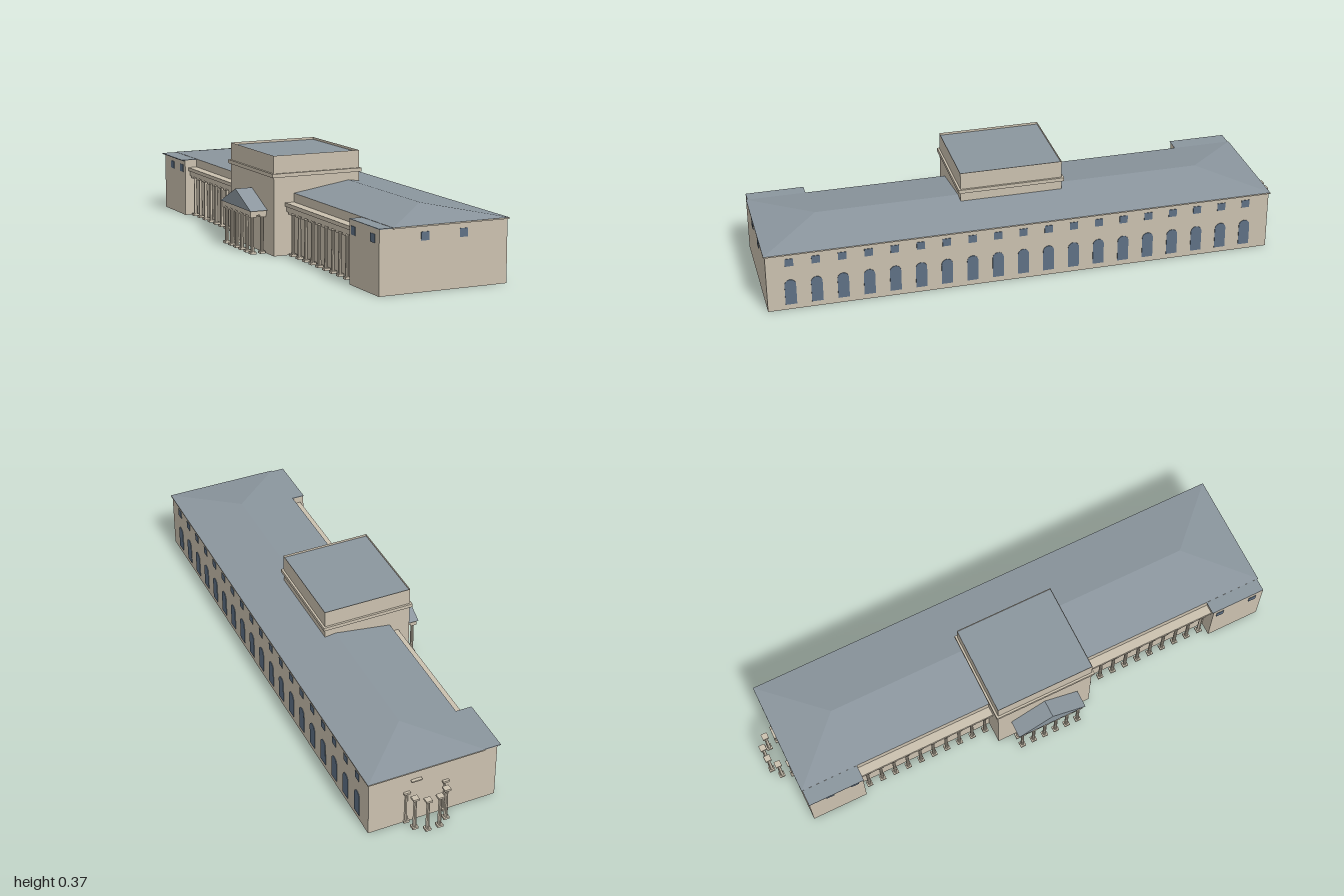
import * as THREE from 'three';

const mat = (name, color) => {
  const m = new THREE.MeshStandardMaterial({ color, side: THREE.DoubleSide, flatShading: true });
  m.name = name;
  return m;
};

export function createModel() {
  const root = new THREE.Group();
  root.name = 'longHall';
  const stone = mat('stone', 0xcbc1af);
  const slate = mat('slate', 0x8b969e);
  const glass = mat('glass', 0x5f7185);

  const add = (name, geo, material, parent = root) => {
    const m = new THREE.Mesh(geo, material);
    m.name = name;
    parent.add(m);
    return m;
  };
  // box given by its minimum and maximum corners
  const block = (name, a, b, material, parent) =>
    add(name, new THREE.BoxGeometry(b[0] - a[0], b[1] - a[1], b[2] - a[2]), material, parent)
      .position.set((a[0] + b[0]) / 2, (a[1] + b[1]) / 2, (a[2] + b[2]) / 2);
  // flat polygons, each fanned from its first corner
  const faces = (polys) => {
    const p = [];
    for (const f of polys)
      for (let i = 1; i < f.length - 1; i++) p.push(...f[0], ...f[i], ...f[i + 1]);
    const g = new THREE.BufferGeometry();
    g.setAttribute('position', new THREE.Float32BufferAttribute(p, 3));
    g.computeVertexNormals();
    return g;
  };
  // closed ring of thin walls over a footprint of [x, z] points (counter-clockwise from above)
  const walls = (plan, y0, y1) => faces(plan.map(([x, z], i) => {
    const [u, w] = plan[(i + 1) % plan.length];
    return [[x, y0, z], [u, y0, w], [u, y1, w], [x, y1, z]];
  }));

  const Z0 = -0.92, Z1 = 0.995, X1 = 0.295, PAV = -0.2, REC = -0.15;
  const TX0 = -0.232, TX1 = 0.117, TZ0 = -0.155, TZ1 = 0.235;

  // main walls with corner pavilions, recessed sides and tower foot
  add('mainWalls', walls([
    [X1, Z1], [X1, Z0], [PAV, Z0], [PAV, -0.7], [REC, -0.7], [REC, TZ0], [TX0, TZ0],
    [TX0, TZ1], [REC, TZ1], [REC, 0.78], [PAV, 0.78], [PAV, Z1],
  ], 0, 0.227), stone);

  // eaves slab and hipped roof
  block('eaves', [REC, 0.225, -0.925], [0.3, 0.23, 1], stone);
  const a = [REC, 0.23, 1], b = [0.3, 0.23, 1], c = [0.3, 0.23, -0.925], d = [REC, 0.23, -0.925];
  const r1 = [0.075, 0.264, 0.775], r2 = [0.075, 0.264, -0.7];
  add('hippedRoof', faces([[a, b, r1], [b, c, r2, r1], [c, d, r2], [d, a, r1, r2]]), slate);
  block('frontPavilionRoof', [-0.2, 0.226, 0.775], [REC, 0.229, 0.995], slate);
  block('backPavilionRoof', [-0.213, 0.226, -0.922], [REC, 0.229, -0.7], slate);

  // tower above the roof
  add('towerWalls', walls([[TX1, TZ1], [TX1, TZ0], [TX0, TZ0], [TX0, TZ1]], 0.227, 0.373), stone);
  const t = 0.364;
  add('towerRoof', faces([[[TX0, t, TZ1], [TX1, t, TZ1], [TX1, t, TZ0], [TX0, t, TZ0]]]), slate);
  const o = 0.008;
  block('towerCorniceFront', [TX0 - o, 0.293, TZ1], [TX1 + o, 0.307, TZ1 + o], stone);
  block('towerCorniceBack', [TX0 - o, 0.293, TZ0 - o], [TX1 + o, 0.307, TZ0], stone);
  block('towerCorniceLeft', [TX1, 0.293, TZ0], [TX1 + o, 0.307, TZ1], stone);
  block('towerCorniceRight', [TX0 - o, 0.293, TZ0], [TX0, 0.307, TZ1], stone);

  // column with square base and capital
  const column = (name, x, z, h) => {
    const g = new THREE.Group();
    g.name = name;
    g.position.set(x, 0, z);
    block('base', [-0.011, 0, -0.011], [0.011, 0.009, 0.011], stone, g);
    add('shaft', new THREE.CylinderGeometry(0.006, 0.007, h - 0.017, 10), stone, g).position.y = h / 2 + 0.0005;
    block('capital', [-0.012, h - 0.008, -0.012], [0.012, h, 0.012], stone, g);
    root.add(g);
  };

  // colonnades either side of the tower
  for (const [z0, z1] of [[-0.7, TZ0], [TZ1, 0.78]]) {
    block('architrave', [-0.18, 0.163, z0], [REC, 0.183, z1], stone);
    block('colonnadeCornice', [-0.186, 0.183, z0], [REC, 0.197, z1], stone);
    const n = 10;
    for (let i = 0; i < n; i++)
      column('colonnadeColumn', -0.167, z0 + ((i + 0.5) * (z1 - z0)) / n, 0.163);
  }

  // gabled entrance porch
  const gable = (x) => [[x, 0.163, -0.1], [x, 0.228, 0.04], [x, 0.163, 0.18]];
  const g0 = gable(-0.3), g1 = gable(TX0);
  add('porchRoof', faces([g0, [g0[0], g1[0], g1[1], g0[1]], [g0[1], g1[1], g1[2], g0[2]]]), slate);
  block('porchBeam', [-0.297, 0.146, -0.09], [TX0, 0.163, 0.17], stone);
  for (let i = 0; i < 6; i++) column('porchColumn', -0.284, -0.078 + i * 0.0472, 0.146);
  for (const z of [-0.078, 0.158]) column('porchRearColumn', -0.246, z, 0.146);

  // half ring of free columns at the back, with a small ledge on the wall
  for (let i = 0; i < 6; i++) {
    const q = (i * Math.PI) / 5;
    column('ringColumn', 0.075 + 0.075 * Math.cos(q), -0.918 - 0.071 * Math.sin(q), 0.142);
  }
  block('backLedge', [0.095, 0.186, -0.932], [0.135, 0.191, Z0], stone);

  // windows: thin plates centred on their own origin, facing +z
  const pane = (w, h) => new THREE.BoxGeometry(w, h, 0.002);
  const square = pane(0.031, 0.03);
  const arch = new THREE.Shape();
  arch.moveTo(-0.021, 0.021);
  arch.lineTo(0.021, 0.021);
  arch.lineTo(0.021, 0.102);
  arch.absarc(0, 0.102, 0.021, 0, Math.PI, false);
  arch.closePath();
  const archGeo = new THREE.ExtrudeGeometry(arch, { depth: 0.002, bevelEnabled: false, curveSegments: 8 });
  const place = (name, geo, x, y, z, ry) => {
    const m = add(name, geo, glass);
    m.position.set(x, y, z);
    m.rotation.y = ry;
  };
  for (let i = 0; i < 19; i++) {
    const z = 0.909 - i * 0.0965;
    place('archedWindow', archGeo, X1, 0, z, Math.PI / 2);
    place('upperWindow', square, X1 + 0.001, 0.194, z, Math.PI / 2);
  }
  for (const x of [-0.027, 0.123]) place('endWindow', square, x, 0.192, Z1 + 0.001, 0);
  for (const z of [-0.835, -0.735, 0.81, 0.95])
    place('pavilionWindow', square, PAV - 0.001, 0.192, z, -Math.PI / 2);

  return root;
}
